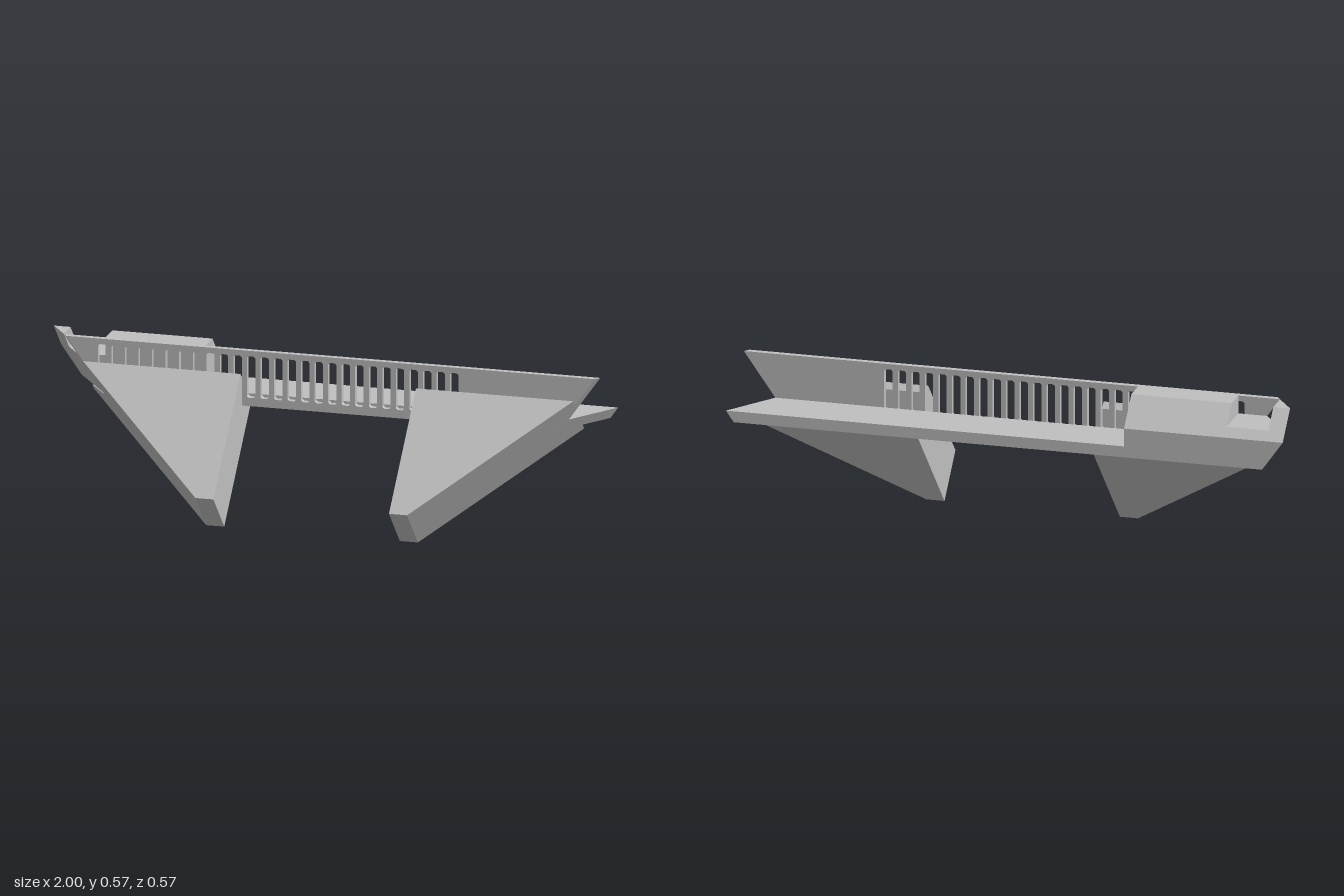
import * as THREE from 'three';

const gray = new THREE.MeshStandardMaterial({ color: 0xbfbfbf });
gray.name = 'gray';

// Ends drawn at x = -1 and x = 1 are cut to slanting mitre planes
function miter(geo) {
  const p = geo.attributes.position;
  for (let i = 0; i < p.count; i++) {
    const x = p.getX(i), s = p.getZ(i) - p.getY(i);
    if (x < -0.999) p.setX(i, -1 + 0.707 * (s + 0.76));
    else if (x > 0.999) p.setX(i, 1 - 0.707 * (s + 0.695));
  }
  geo.computeVertexNormals();
  return geo;
}

// Prism along x from a profile of [z, y] points
function prism(profile, x0, x1) {
  const shape = new THREE.Shape(profile.map(([z, y]) => new THREE.Vector2(-z, y)));
  const geo = new THREE.ExtrudeGeometry(shape, { depth: x1 - x0, bevelEnabled: false });
  return geo.rotateY(Math.PI / 2).translate(x0, 0, 0);
}

// Long flange with a row of slots; v is the across direction
function slottedFlange(v0, v1, s0, s1) {
  const shape = new THREE.Shape([[-1, v0], [1, v0], [1, v1], [-1, v1]].map(a => new THREE.Vector2(...a)));
  const w = 0.03, c = 0.006;
  for (let i = 0; i < 27; i++) {
    const a = -0.812 + i * 0.0486, b = a + w;
    shape.holes.push(new THREE.Path([
      [a + c, s0], [b - c, s0], [b, s0 + c], [b, s1 - c],
      [b - c, s1], [a + c, s1], [a, s1 - c], [a, s0 + c],
    ].map(q => new THREE.Vector2(...q))));
  }
  return new THREE.ExtrudeGeometry(shape, { depth: 0.02, bevelEnabled: false });
}

// Leg sloping down and forward, its outer side tapering to the foot
function leg(side) {
  const cx = 0.02;
  const profile = [[-0.065, 0.49], [-0.085, 0.47], [-0.085, 0.37], [-0.185, 0.37],
    [-0.205, 0.35], [0.145, 0], [0.285, 0.14]];
  const inner = 0.315, outer = 0.88;
  const geo = side > 0 ? prism(profile, cx + inner, cx + outer) : prism(profile, cx - outer, cx - inner);
  const p = geo.attributes.position;
  for (let i = 0; i < p.count; i++) {
    if (Math.abs(p.getX(i) - cx) < 0.6) continue;
    const t = (0.49 - p.getY(i) + p.getZ(i) + 0.065) / 0.7;
    p.setX(i, cx + side * (outer - 0.5 * t));
  }
  geo.computeVertexNormals();
  return geo;
}

export function createModel() {
  const model = new THREE.Group();
  model.name = 'slottedRailOnLegs';
  const add = (name, geo, parent = model) => {
    const mesh = new THREE.Mesh(geo, gray);
    mesh.name = name;
    parent.add(mesh);
  };

  // Angle rail: upright flange, floor flange and the solid cover over the floor
  const rail = new THREE.Group();
  rail.name = 'rail';
  model.add(rail);
  add('uprightFlange', miter(slottedFlange(0.37, 0.57, 0.4, 0.55).translate(0, 0, -0.105)), rail);
  add('floorFlange', miter(slottedFlange(-0.285, -0.105, -0.265, -0.115)
    .rotateX(Math.PI / 2).translate(0, 0.39, 0)), rail);
  add('floorCover', miter(prism([[-0.105, 0.39], [-0.105, 0.41], [-0.285, 0.41], [-0.285, 0.39]], -1, 1)), rail);

  // Chamfered end block with a square pocket in its top
  const block = new THREE.Group();
  block.name = 'endBlock';
  model.add(block);
  add('blockBody', miter(prism([[-0.105, 0.41], [-0.105, 0.57], [-0.19, 0.57],
    [-0.285, 0.475], [-0.285, 0.41]], -0.79, -0.43)), block);
  add('blockUnderPocket', miter(prism([[-0.105, 0.41], [-0.105, 0.505], [-0.255, 0.505],
    [-0.285, 0.475], [-0.285, 0.41]], -1, -0.79)), block);
  add('pocketEndWall', miter(prism([[-0.17, 0.505], [-0.105, 0.57], [-0.19, 0.57],
    [-0.255, 0.505]], -1, -0.94)), block);

  add('leftLeg', leg(1));
  add('rightLeg', leg(-1));
  return model;
}
